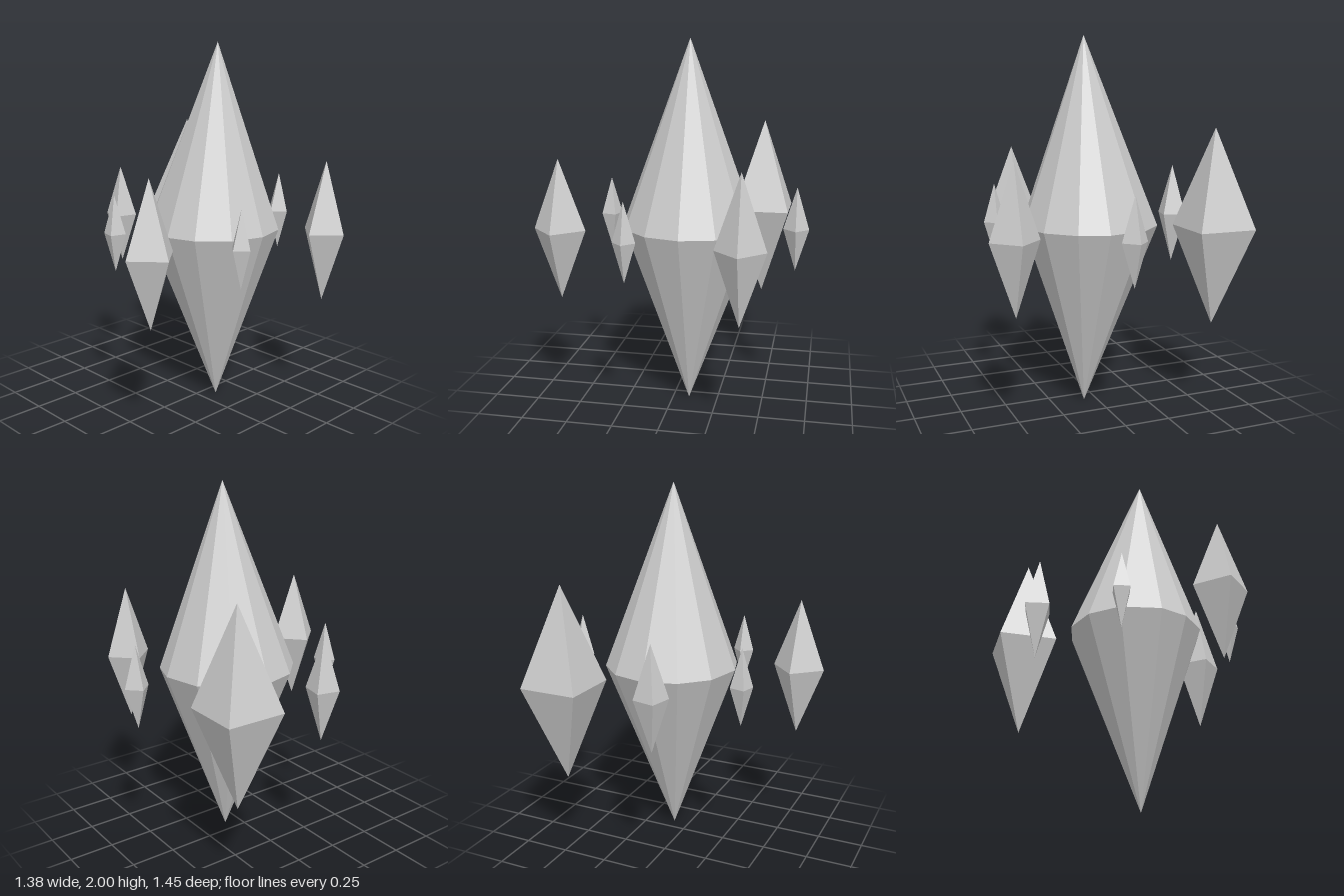
import * as THREE from 'three';

const material = new THREE.MeshStandardMaterial({ color: 0xcccccc, flatShading: true });

// Double-ended pyramid: a ring of `sides` corners between two points
function bipyramid(radius, halfHeight, sides) {
  const profile = [[0, -halfHeight], [radius, 0], [0, halfHeight]];
  return new THREE.LatheGeometry(profile.map(([x, y]) => new THREE.Vector2(x, y)), sides);
}

function addCrystal(group, name, geometry, x, z, degrees = 0) {
  const flat = geometry.toNonIndexed();
  flat.computeVertexNormals();
  const mesh = new THREE.Mesh(flat, material);
  mesh.name = name;
  mesh.position.set(x, 1, z);
  mesh.rotation.y = THREE.MathUtils.degToRad(degrees);
  group.add(mesh);
}

export function createModel() {
  const group = new THREE.Group();
  group.name = 'crystalCluster';

  // Large twelve-sided crystal; its side corners sit slightly off the tip axis
  const core = bipyramid(0.37, 1, 12);
  const p = core.attributes.position;
  for (let i = 0; i < p.count; i++) {
    if (Math.abs(p.getX(i)) > 0.01) p.setX(i, p.getX(i) - 0.03);
  }
  addCrystal(group, 'mainCrystal', core, 0.07, -0.09);

  // Small four-sided crystals around it: name, x, z, radius, half height, turn
  const shards = [
    ['backLeftShard', 0.557, -0.422, 0.13, 0.385, 0],
    ['backShard', 0.033, -0.662, 0.069, 0.228, 0],
    ['backRightShard', -0.531, -0.437, 0.226, 0.525, -45.7],
    ['rightShard', -0.555, 0.081, 0.09, 0.283, -58],
    ['frontRightShard', -0.195, 0.418, 0.061, 0.21, -59],
    ['frontShard', 0.274, 0.579, 0.145, 0.38, -2.9],
    ['leftShard', 0.495, 0.17, 0.061, 0.21, 0],
  ];
  for (const [name, x, z, radius, halfHeight, turn] of shards) {
    addCrystal(group, name, bipyramid(radius, halfHeight, 4), x, z, turn);
  }
  return group;
}
